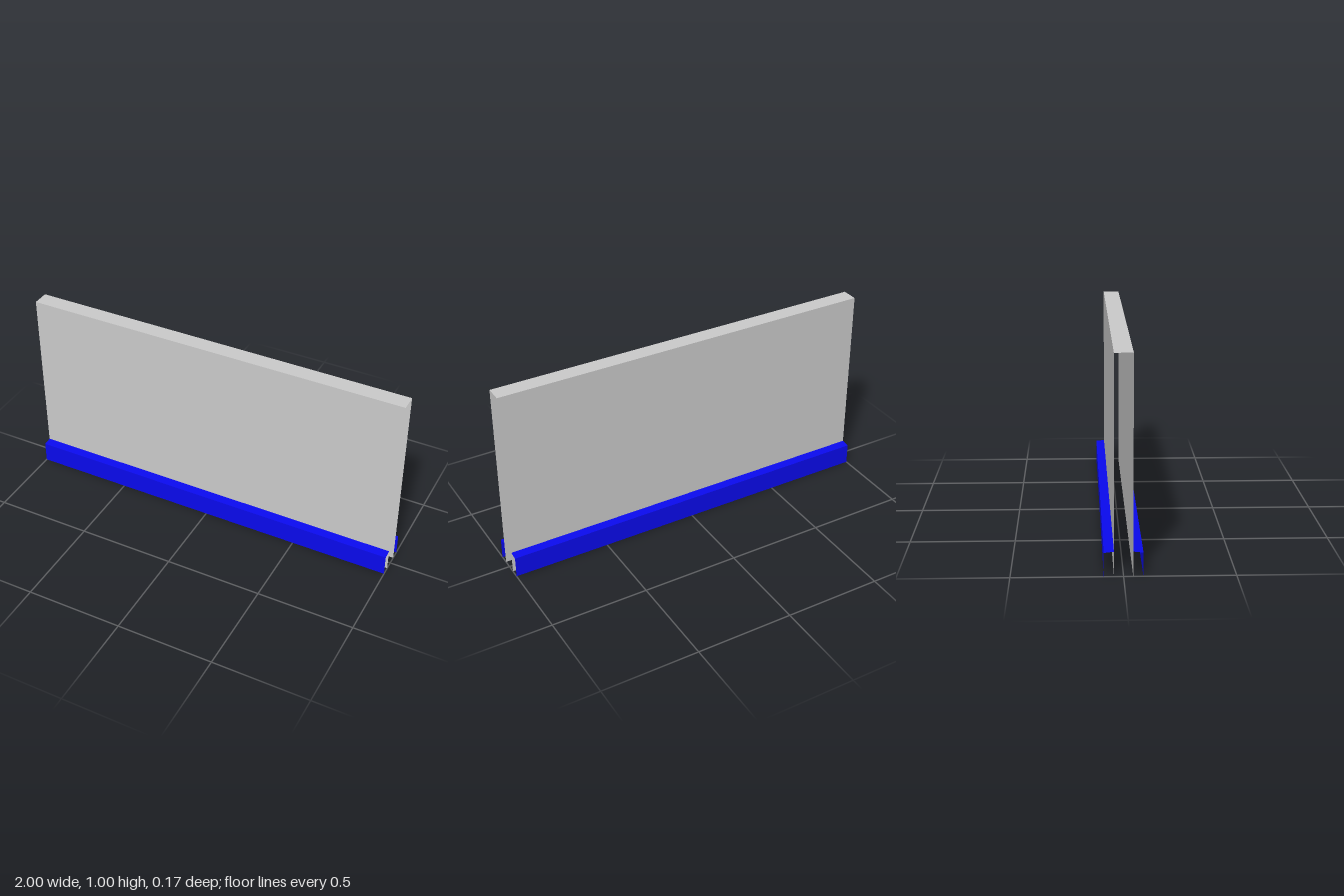
import * as THREE from 'three';

const HALF_LENGTH = 1;
const WALL_Z = 0.0425;
const SKIRT_Z = 0.0875;

// Sweeps an open [z, y] profile along x as flat sheets, open at both ends.
function sweepProfile(profile) {
  const positions = [];
  for (let i = 0; i < profile.length - 1; i++) {
    const [z0, y0] = profile[i];
    const [z1, y1] = profile[i + 1];
    const a = [-HALF_LENGTH, y0, z0];
    const b = [HALF_LENGTH, y0, z0];
    const c = [HALF_LENGTH, y1, z1];
    const d = [-HALF_LENGTH, y1, z1];
    positions.push(...a, ...b, ...c, ...a, ...c, ...d);
  }
  const geometry = new THREE.BufferGeometry();
  geometry.setAttribute('position', new THREE.Float32BufferAttribute(positions, 3));
  geometry.computeVertexNormals();
  return geometry;
}

export function createModel() {
  const model = new THREE.Group();
  model.name = 'wallWithSkirting';

  const wallMaterial = new THREE.MeshStandardMaterial({ color: 0xcccccc, side: THREE.DoubleSide });
  const skirtMaterial = new THREE.MeshStandardMaterial({ color: 0x0a0aee, side: THREE.DoubleSide });

  // Hollow wall: front, top and back sheets, open below and at the ends
  const wall = new THREE.Mesh(
    sweepProfile([[WALL_Z, 0], [WALL_Z, 1], [-WALL_Z, 1], [-WALL_Z, 0]]),
    wallMaterial
  );
  wall.name = 'wall';
  model.add(wall);

  // Skirting: an outer face and a top ledge on each side of the wall
  const skirtGeometry = sweepProfile([[SKIRT_Z, 0], [SKIRT_Z, 0.11], [WALL_Z, 0.115]]);
  for (const [name, turn] of [['frontSkirting', 0], ['backSkirting', Math.PI]]) {
    const skirting = new THREE.Mesh(skirtGeometry, skirtMaterial);
    skirting.name = name;
    skirting.rotation.y = turn;
    model.add(skirting);
  }

  return model;
}
